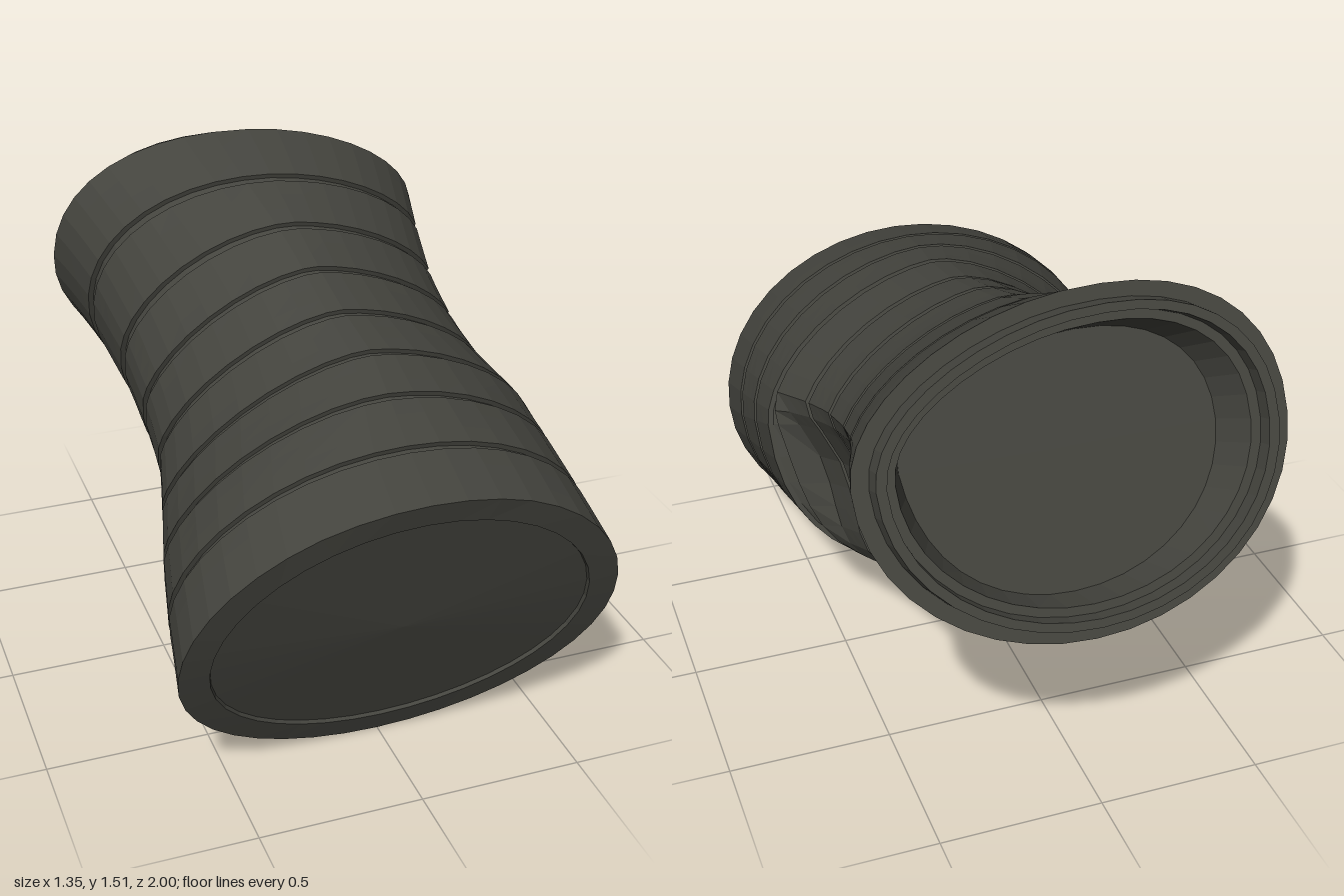
import * as THREE from 'three';

const SIDES = 40;
const END = 1.71; // length of the banded sleeve
const { clamp, lerp, smoothstep } = THREE.MathUtils;

// Outline along the axis: [distance, left, right, top]
const OUTLINE = [
  [0, -0.675, 0.67, 1.054], [0.24, -0.635, 0.667, 1.035], [0.46, -0.585, 0.665, 1.016],
  [0.66, -0.53, 0.66, 0.988], [0.86, -0.48, 0.605, 0.95], [1.05, -0.468, 0.582, 0.935],
  [1.27, -0.48, 0.588, 0.925], [1.49, -0.535, 0.62, 0.942], [END, -0.62, 0.66, 0.98],
];

function outlineAt(s) {
  let i = 0;
  while (i < OUTLINE.length - 2 && s > OUTLINE[i + 1][0]) i++;
  const a = OUTLINE[i], b = OUTLINE[i + 1], f = (s - a[0]) / (b[0] - a[0]);
  return [1, 2, 3].map((k) => lerp(a[k], b[k], f));
}

// Forward bow of every cross-section, strongest at the front
const bow = (s, y) => 0.022 * (1 - s / END) * Math.sin(Math.PI * clamp(y, 0, 1));

// One closed cross-section, shrunk by inset
function ring(dist, inset) {
  const s = clamp(dist, 0, END);
  const [left, right, top] = outlineAt(s);
  const cx = (left + right) / 2, rx = (right - left) / 2 - inset;
  const lift = inset * 0.87;
  // the waist has sloping shoulders and a full underside
  const waist = smoothstep(s, 0.1, 0.75) * (1 - smoothstep(s, 1.1, END));
  const back = smoothstep(s, 1.2, END);
  const skew = 0.06 * (s / END);
  // hollow pressed into the lower right flank, starting abruptly at a band edge
  const hollow = 0.11 * smoothstep(s, 0.65, 0.72) * (1 - smoothstep(s, 1.35, 1.7));
  const pts = [];
  for (let i = 0; i < SIDES; i++) {
    const t = (i / SIDES) * Math.PI * 2, c = Math.cos(t), n = Math.sin(t);
    const cy = (c < 0 ? lerp(0.51, 0.44, waist) : lerp(0.51, 0.55, waist)) + 0.03 * back;
    let power = 2 + 0.35 * waist;
    if (n > 0) power = c < 0 ? 2 - 0.42 * waist + 0.2 * back : 2 - 0.3 * waist;
    const curve = (v) => Math.sign(v) * Math.abs(v) ** (2 / power);
    let x = cx + rx * curve(c);
    const y = cy + (n > 0 ? top - cy - lift : cy - lift) * curve(n) - skew * c * Math.max(n, 0);
    const k = (0.62 - y) / 0.52;
    if (c > 0 && k > 0 && k < 1) x -= hollow * Math.sin(Math.PI * k ** 0.85);
    // the bands lean forward a little along the top
    const lean = 0.025 * Math.sin((Math.PI * s) / END) * Math.max(n, 0);
    pts.push([x, y, lean + bow(s, y) - dist]);
  }
  return pts;
}

// Skin through rows of [distance, inset]; optionally close the first or last row
function loft(name, rows, material, close) {
  const rings = rows.map(([s, inset]) => ring(s, inset));
  const pos = [];
  const tri = (a, b, c) => pos.push(...a, ...b, ...c);
  const closeAt = close === 'first' ? rows[0][0] : rows[rows.length - 1][0];
  const mid = [0, 0.53, bow(Math.min(closeAt, END), 0.53) - closeAt];
  for (let i = 0; i < SIDES; i++) {
    const j = (i + 1) % SIDES;
    for (let r = 0; r < rings.length - 1; r++) {
      const a = rings[r][i], b = rings[r][j], c = rings[r + 1][j], d = rings[r + 1][i];
      tri(a, d, b);
      tri(b, d, c);
    }
    if (close === 'first') tri(mid, rings[0][i], rings[0][j]);
    if (close === 'last') tri(mid, rings[rings.length - 1][j], rings[rings.length - 1][i]);
  }
  const g = new THREE.BufferGeometry();
  g.setAttribute('position', new THREE.Float32BufferAttribute(pos, 3));
  g.computeVertexNormals();
  const mesh = new THREE.Mesh(g, material);
  mesh.name = name;
  return mesh;
}

export function createModel() {
  const model = new THREE.Group();
  model.name = 'bandedSleeve';
  const dark = new THREE.MeshStandardMaterial({ color: 0x44443e, flatShading: true });
  dark.name = 'dark olive grey';

  const body = new THREE.Group();
  body.name = 'tiltedBody';
  body.rotation.x = THREE.MathUtils.degToRad(20);
  body.position.z = 0.64;
  model.add(body);

  // Front end: flat rim around a slightly sunken cap
  body.add(loft('frontCap', [[0.012, 0.095], [0, 0.092], [0, 0]], dark, 'first'));

  // Eight bands separated by narrow grooves
  const joints = [0, 0.215, 0.44, 0.65, 0.865, 1.075, 1.285, 1.495, END];
  const gap = 0.028, depth = 0.016;
  for (let i = 0; i < 8; i++) {
    const start = joints[i] + (i ? gap : 0), stop = joints[i + 1];
    const band = [0, 0.33, 0.67, 1].map((f) => [lerp(start, stop, f), 0]);
    body.add(loft('band' + (i + 1), band, dark));
    if (i < 7) {
      const end = stop + gap;
      body.add(loft('groove' + (i + 1),
        [[stop, 0], [stop + 0.002, depth], [end - 0.002, depth], [end, 0]], dark));
    }
  }

  // Back end: shoulder, raised lip, inner ledge and recessed floor
  body.add(loft('backSocket', [[END, 0], [END, 0.05], [1.767, 0.055], [1.767, 0.085],
    [1.72, 0.09], [1.72, 0.12], [1.6, 0.13]], dark, 'last'));

  return model;
}
